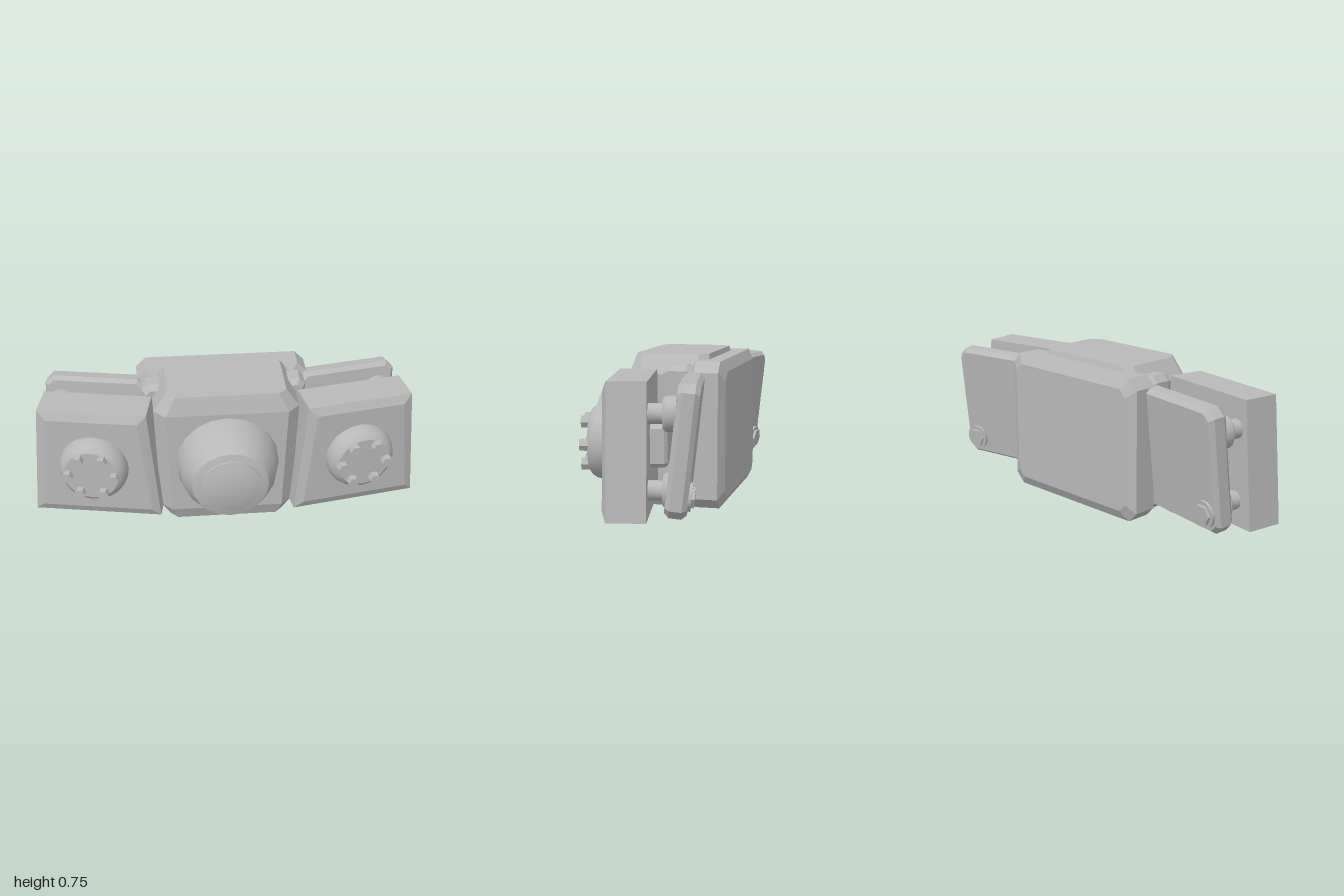
import * as THREE from 'three';
import { toCreasedNormals } from 'three/addons/utils/BufferGeometryUtils.js';
import { ConvexGeometry } from 'three/addons/geometries/ConvexGeometry.js';

const metal = new THREE.MeshStandardMaterial({ color: 0xb8b8b8 });
metal.name = 'grey metal';

function add(parent, name, geometry, x = 0, y = 0, z = 0) {
  const mesh = new THREE.Mesh(geometry, metal);
  mesh.name = name;
  mesh.position.set(x, y, z);
  parent.add(mesh);
  return mesh;
}

// Rectangle with cut corners: half width, half height, corner cut
function ring(w, h, c) {
  const points = [];
  for (const a of [-1, 1]) for (const b of [-1, 1]) {
    points.push([a * w, b * (h - c)], [a * (w - c), b * h]);
  }
  return points;
}

// Faceted block from rings [depth, halfWidth, halfHeight, cut] along z
function block(levels) {
  const points = [];
  for (const [z, w, h, c] of levels) {
    for (const [x, y] of ring(w, h, c)) points.push(new THREE.Vector3(x, y, z));
  }
  return new ConvexGeometry(points);
}

// Box with cut corners and bevelled front and back rims
function bevelBox(w, h, d, cut, inset, bevel) {
  const rim = [w / 2 - inset, h / 2 - inset, cut * 0.8];
  const full = [w / 2, h / 2, cut];
  return block([[-d / 2, ...rim], [-d / 2 + bevel, ...full], [d / 2 - bevel, ...full], [d / 2, ...rim]]);
}

// Turned part with its axis along z; profile is [radius, z]
function turned(profile, sides) {
  const lathe = new THREE.LatheGeometry(profile.map(([r, z]) => new THREE.Vector2(r, z)), sides);
  return toCreasedNormals(lathe.rotateX(Math.PI / 2), 0.6);
}

// Disc or hexagon along z
const peg = (r, length, sides) =>
  toCreasedNormals(new THREE.CylinderGeometry(r, r, length, sides).rotateX(Math.PI / 2), 0.6);
const hex = (r, length) => peg(r, length, 6).rotateZ(Math.PI / 6);

function frontWing(s) {
  const wing = new THREE.Group();
  wing.name = s > 0 ? 'leftFrontWing' : 'rightFrontWing';
  wing.position.set(s * 0.675, 0.38, 0.1);
  wing.rotation.y = s * 0.175;

  // Tapered armour slab with a bevelled front
  const corners = [];
  for (const [z, inset] of [[-0.18, 0], [0, 0], [0.02, 0.045]]) {
    for (const a of [-1, 1]) {
      corners.push(new THREE.Vector3(a * (0.33 - inset), -0.31 + inset, z));
      corners.push(new THREE.Vector3(a * (0.275 - inset), 0.307 - inset, z));
    }
  }
  add(wing, 'wingSlab', new ConvexGeometry(corners));

  // Round hub with six bolts
  const hub = [[0.177, 0], [0.177, 0.045], [0.17, 0.07], [0.156, 0.092], [0.137, 0.105], [0, 0.105]];
  add(wing, 'hub', turned(hub, 24));
  for (let i = 0; i < 6; i++) {
    const a = i * Math.PI / 3;
    add(wing, 'hubBolt', hex(0.029, 0.05), 0.118 * Math.cos(a), 0.113 * Math.sin(a), 0.115);
  }

  // Spacer block behind the slab
  add(wing, 'spacer', bevelBox(0.4, 0.2, 0.09, 0.02, 0.01, 0.015), -s * 0.06, 0, -0.215);
  return wing;
}

function rearWing(s) {
  const wing = new THREE.Group();
  wing.name = s > 0 ? 'leftRearWing' : 'rightRearWing';
  wing.position.set(s * 0.66, 0.38, -0.237);
  wing.rotation.set(-0.11, s * 0.175, 0, 'YXZ');
  add(wing, 'rearPlate', bevelBox(0.53, 0.605, 0.1, 0.04, 0.018, 0.022));

  // Washer and hex bolt on the back
  add(wing, 'washer', peg(0.065, 0.02, 20), s * 0.185, -0.205, -0.053);
  add(wing, 'rearBolt', hex(0.05, 0.03), s * 0.185, -0.205, -0.062);
  return wing;
}

export function createModel() {
  const model = new THREE.Group();
  model.name = 'bracket';

  // Central body, built upright from horizontal rings
  const body = block([
    [0, 0.30, 0.18, 0.04], [0.075, 0.348, 0.207, 0.06],
    [0.66, 0.368, 0.207, 0.06], [0.755, 0.30, 0.18, 0.04],
  ]).rotateX(-Math.PI / 2);
  add(model, 'body', body, 0, 0, -0.08);

  // Nose dome with a stepped cap
  const nose = [[0.264, 0.1], [0.26, 0.16], [0.237, 0.25], [0.19, 0.335], [0.155, 0.345],
    [0.155, 0.357], [0.14, 0.36], [0.11, 0.372], [0, 0.372]];
  add(model, 'nose', turned(nose, 20), 0, 0.377, 0);

  // Back plate
  add(model, 'backPlate', bevelBox(0.89, 0.71, 0.175, 0.05, 0.05, 0.028), 0, 0.375, -0.284);

  for (const s of [-1, 1]) {
    model.add(frontWing(s), rearWing(s));

    // Upright hinge bar beside the body
    add(model, 'hingeBar', bevelBox(0.13, 0.67, 0.15, 0.03, 0.02, 0.035), s * 0.355, 0.378, -0.14);

    // Mounts joining front and rear wings
    for (const y of [0.195, 0.54]) {
      const mount = new THREE.Group();
      mount.name = 'mount';
      mount.position.set(s * 0.84, y, -0.2);
      mount.rotation.y = s * 0.175;
      add(mount, 'mountPin', peg(0.046, 0.11, 16), 0, 0, 0.045);
      add(mount, 'mountDisc', turned([[0, -0.04], [0.081, -0.04], [0.081, 0.008], [0.07, 0.02], [0, 0.02]], 20));
      model.add(mount);
    }
  }
  return model;
}
